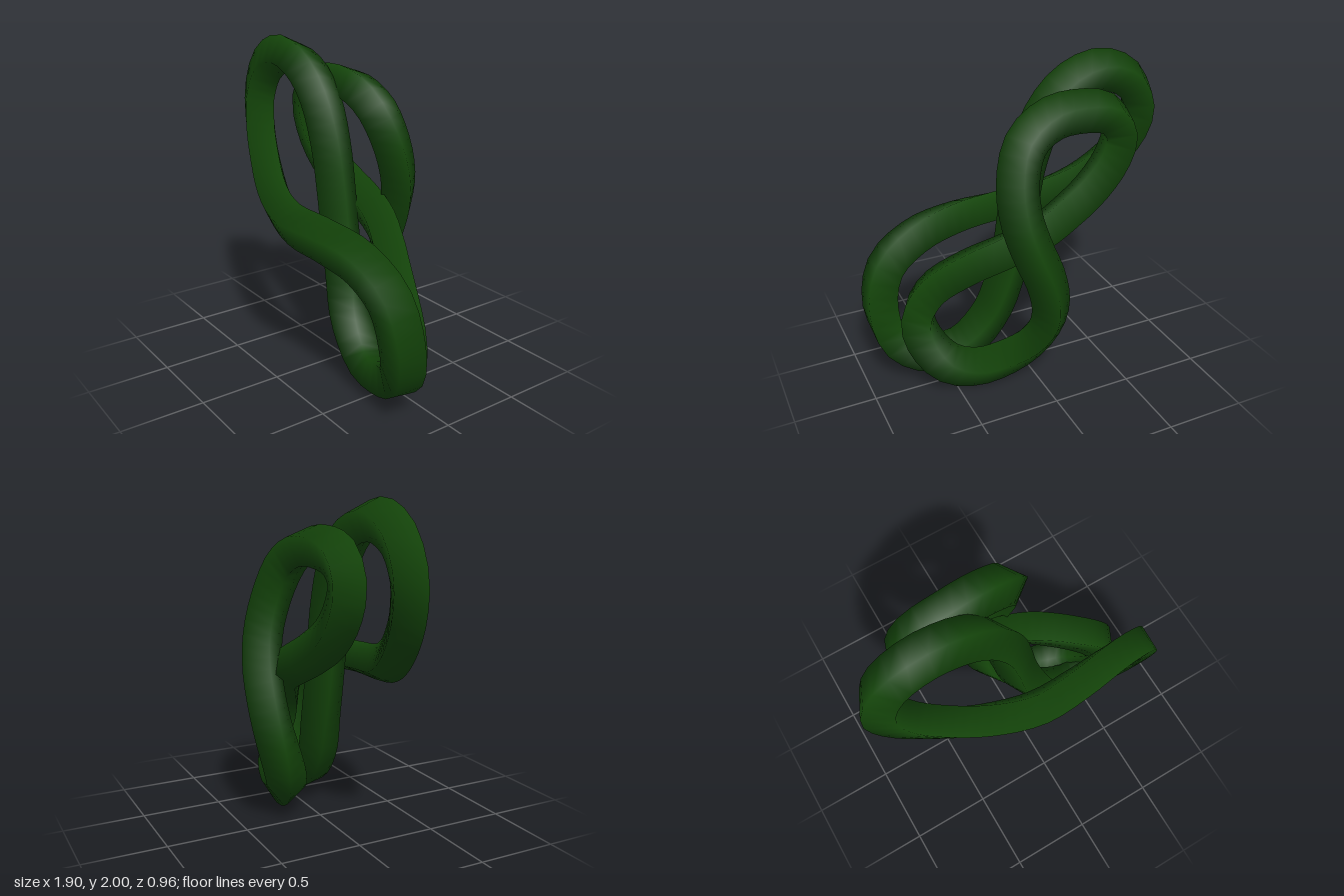
import * as THREE from 'three';

const RADIUS = 0.128, SIDES = 4, RINGS = 64;

// Centre lines of the two interlaced figure-eight rings: x, y, z, roll in degrees
const frontPath = [
  [0, 0.97, 0.355, 29], [0.3, 0.957, 0.345, 22], [0.58, 0.905, 0.305, 12], [0.795, 0.755, 0.27, 4],
  [0.86, 0.5, 0.23, 0], [0.79, 0.27, 0.17, 4], [0.6, 0.155, 0.115, 10], [0.39, 0.16, 0.095, 14],
  [0.19, 0.36, 0.075, 24], [0.09, 0.63, 0.05, 32], [0.035, 0.87, 0.045, 35], [0, 1.1, 0.045, 35],
  [-0.06, 1.4, 0.045, 32], [-0.17, 1.66, 0.045, 27], [-0.33, 1.82, 0.05, 24], [-0.55, 1.88, 0.055, 24],
  [-0.75, 1.79, 0.06, 25], [-0.835, 1.6, 0.075, 25], [-0.77, 1.38, 0.115, 26], [-0.56, 1.16, 0.195, 27],
  [-0.3, 1.025, 0.285, 28],
];
const backPath = [
  [0, 1.0, -0.185, -25], [-0.22, 1.11, -0.165, -23], [-0.4, 1.23, -0.145, -21], [-0.53, 1.39, -0.14, -19],
  [-0.575, 1.55, -0.14, -19], [-0.49, 1.68, -0.145, -19], [-0.28, 1.725, -0.15, -19], [-0.1, 1.71, -0.165, -20],
  [0.06, 1.61, -0.195, -25], [0.14, 1.42, -0.25, -35], [0.145, 1.2, -0.31, -42], [0.09, 1.0, -0.347, -45],
  [0.01, 0.8, -0.355, -45], [-0.04, 0.6, -0.33, -44], [-0.035, 0.43, -0.28, -41], [0.04, 0.27, -0.215, -36],
  [0.18, 0.165, -0.16, -31], [0.37, 0.125, -0.12, -29], [0.54, 0.18, -0.075, -28], [0.65, 0.32, 0, -27],
  [0.68, 0.48, 0.05, -26], [0.59, 0.66, 0.035, -26], [0.39, 0.82, -0.06, -25], [0.2, 0.92, -0.145, -25],
];

// Square section swept along a closed path, rolled about the path and smoothly shaded
function sweep(points) {
  const curve = new THREE.CatmullRomCurve3(
    points.map(([x, y, z]) => new THREE.Vector3(x, y, z)), true, 'centripetal');
  const depth = new THREE.Vector3(0, 0, 1);
  const position = [], index = [];
  for (let i = 0; i < RINGS; i++) {
    const t = curve.getUtoTmapping(i / RINGS);
    const centre = curve.getPoint(t), tangent = curve.getTangent(t);
    const side = depth.clone().cross(tangent).normalize();
    const front = tangent.clone().cross(side);
    const k = Math.floor(t * points.length) % points.length;
    const roll = THREE.MathUtils.lerp(
      points[k][3], points[(k + 1) % points.length][3], t * points.length - k);
    for (let j = 0; j < SIDES; j++) {
      const a = THREE.MathUtils.degToRad(roll + 45) + (j / SIDES) * Math.PI * 2;
      const p = centre.clone()
        .addScaledVector(side, RADIUS * Math.cos(a))
        .addScaledVector(front, RADIUS * Math.sin(a));
      position.push(p.x, p.y, p.z);
      const next = ((i + 1) % RINGS) * SIDES, here = i * SIDES, j2 = (j + 1) % SIDES;
      index.push(here + j, here + j2, next + j, here + j2, next + j2, next + j);
    }
  }
  const geometry = new THREE.BufferGeometry();
  geometry.setAttribute('position', new THREE.Float32BufferAttribute(position, 3));
  geometry.setIndex(index);
  geometry.computeVertexNormals();
  return geometry;
}

export function createModel() {
  const group = new THREE.Group();
  group.name = 'interlacedKnot';
  const material = new THREE.MeshStandardMaterial({ color: 0x14450a });
  for (const [name, path] of [['frontRing', frontPath], ['backRing', backPath]]) {
    const ring = new THREE.Mesh(sweep(path), material);
    ring.name = name;
    group.add(ring);
  }

  // Stand the knot on the ground, centred
  const box = new THREE.Box3().setFromObject(group, true);
  const centre = box.getCenter(new THREE.Vector3());
  group.children.forEach((ring) =>
    ring.geometry.translate(-centre.x, -box.min.y, -centre.z));
  return group;
}
